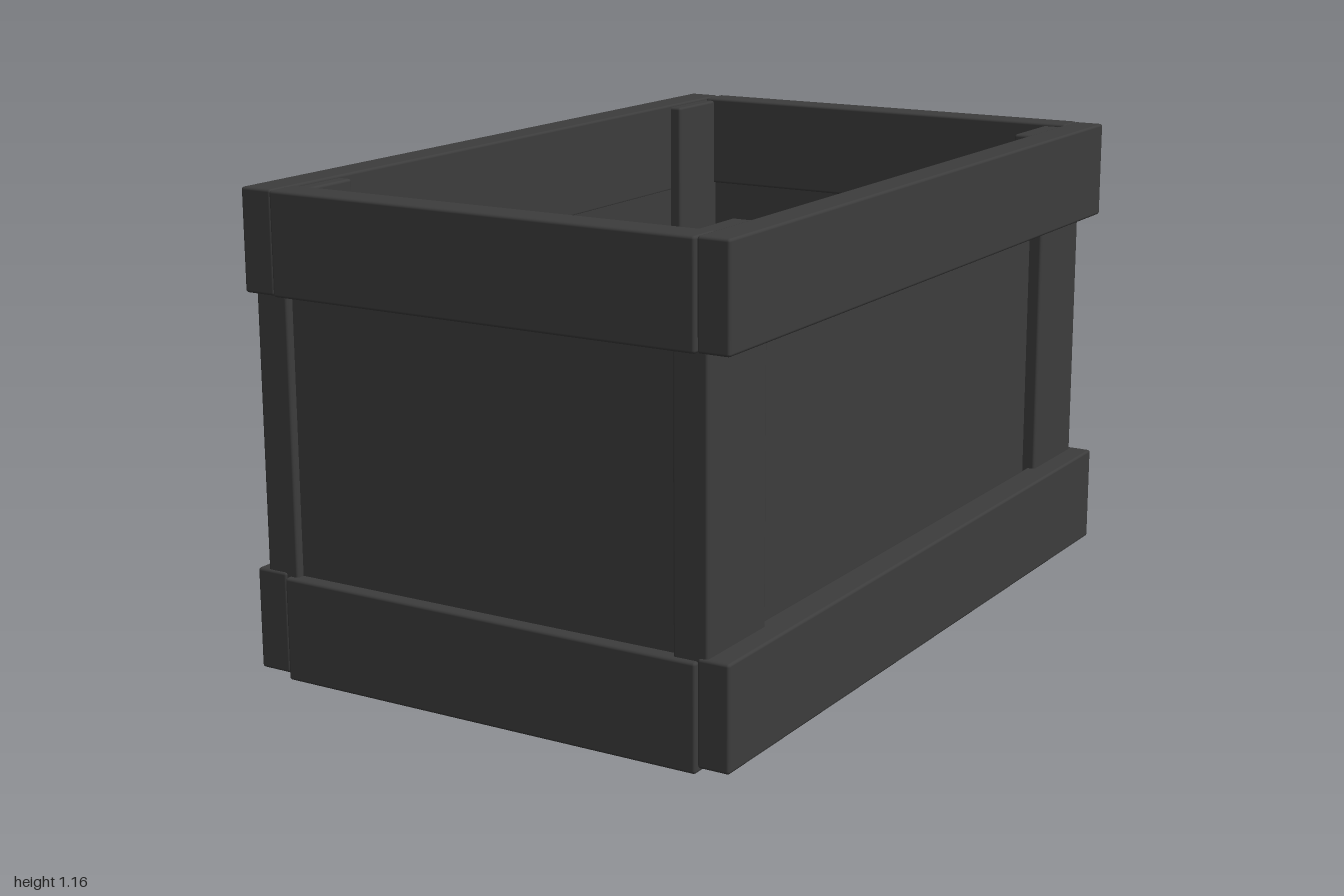
import * as THREE from 'three';
import { RoundedBoxGeometry } from 'three/addons/geometries/RoundedBoxGeometry.js';

const material = new THREE.MeshStandardMaterial({ color: 0x3c3c3c });

// Board given by its [min, max] extent on each axis, with softened edges.
function board(name, [x0, x1], [y0, y1], [z0, z1], radius = 0.007) {
  const geometry = new RoundedBoxGeometry(x1 - x0, y1 - y0, z1 - z0, 2, radius);
  const mesh = new THREE.Mesh(geometry, material);
  mesh.position.set((x0 + x1) / 2, (y0 + y1) / 2, (z0 + z1) / 2);
  mesh.name = name;
  return mesh;
}

export function createModel() {
  const crate = new THREE.Group();
  crate.name = 'crate';

  // Rim and base bands: long side boards and shorter end boards
  const bands = [
    { level: 'base', side: [0.012, 0.26], end: [0, 0.252] },
    { level: 'rim', side: [0.92, 1.165], end: [0.92, 1.165] },
  ];
  for (const { level, side, end } of bands) {
    crate.add(
      board(level + 'SideBoardLeft', [0.563, 0.642], side, [-0.99, 0.99]),
      board(level + 'SideBoardRight', [-0.642, -0.556], side, [-0.99, 0.99]),
      board(level + 'EndBoardFront', [-0.552, 0.564], end, [0.912, 1]),
      board(level + 'EndBoardBack', [-0.552, 0.564], end, [-1, -0.915]),
    );
  }

  // Corner posts, running the full height inside the bands
  for (const [side, x] of [['Left', [0.5, 0.587]], ['Right', [-0.613, -0.525]]]) {
    for (const [end, z] of [['Front', [0.737, 0.985]], ['Back', [-0.972, -0.728]]]) {
      crate.add(board('cornerPost' + end + side, x, [0.015, 1.158], z));
    }
  }

  // Thin wall panels set slightly behind the post faces
  const wall = [0.03, 1.14];
  crate.add(
    board('sidePanelLeft', [0.527, 0.553], wall, [-0.93, 0.93], 0.003),
    board('sidePanelRight', [-0.583, -0.557], wall, [-0.93, 0.93], 0.003),
    board('endPanelFront', [-0.55, 0.55], wall, [0.914, 0.965], 0.003),
    board('endPanelBack', [-0.55, 0.55], wall, [-0.965, -0.925], 0.003),
  );

  // Floor raised a little above the base
  crate.add(board('floor', [-0.575, 0.575], [0.035, 0.08], [-0.93, 0.93], 0.003));

  return crate;
}
